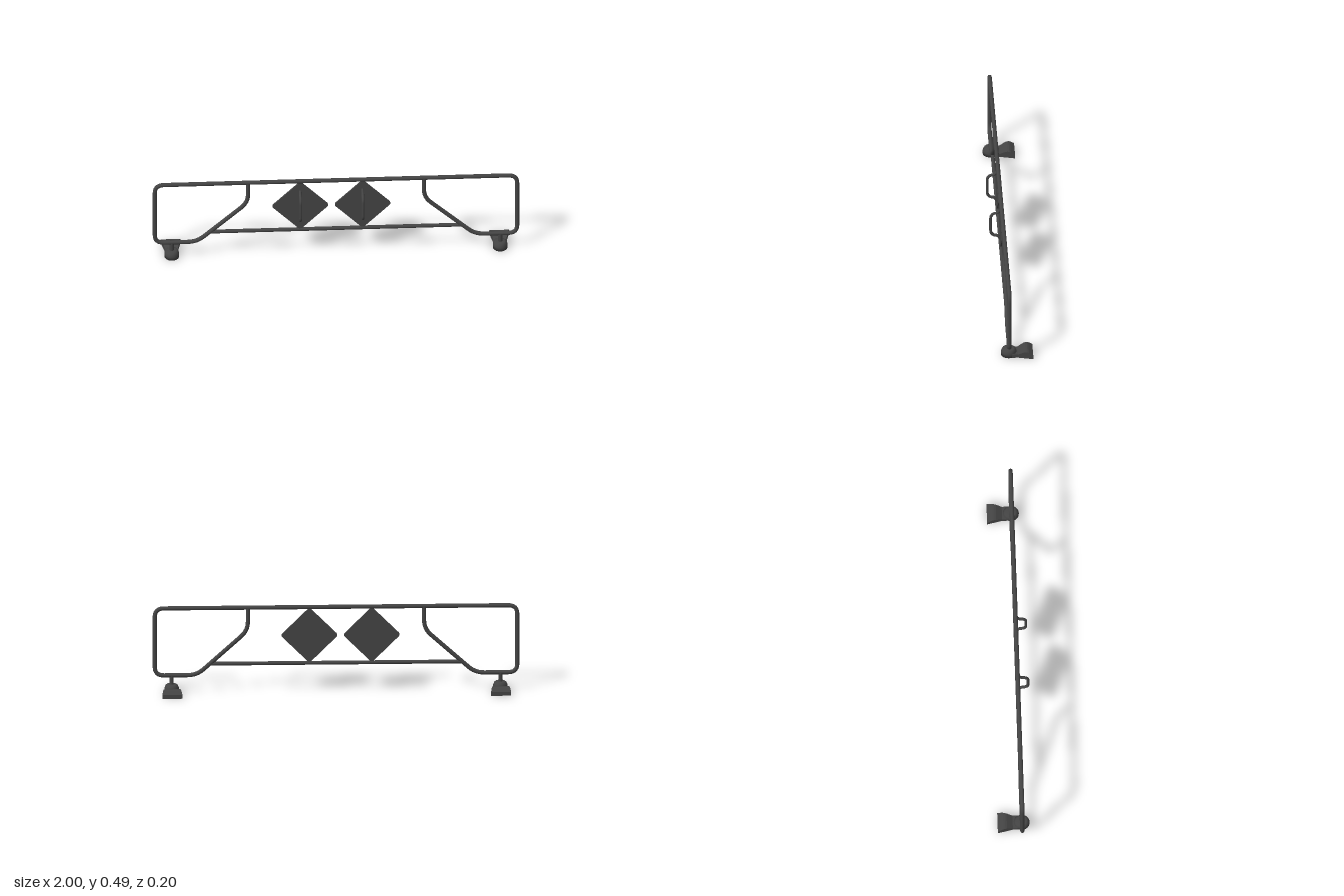
import * as THREE from 'three';

const metal = new THREE.MeshStandardMaterial({ color: 0x444444 });
const PLANE_Z = 0.035;
const v = (x, y, z = PLANE_Z) => new THREE.Vector3(x, y, z);

// Bent pipe centre line: straight runs joined by rounded bends
class BentPath extends THREE.Curve {
  constructor(corners, bend, steps) {
    super();
    const pts = [corners[0]];
    for (let i = 1; i < corners.length - 1; i++) {
      const c = corners[i];
      const cut = (o) => {
        const d = o.clone().sub(c);
        return d.clone().setLength(Math.min(bend, d.length() * 0.45)).add(c);
      };
      const arc = new THREE.QuadraticBezierCurve3(cut(corners[i - 1]), c, cut(corners[i + 1]));
      pts.push(...arc.getPoints(steps));
    }
    pts.push(corners[corners.length - 1]);
    this.pts = pts;
    this.count = pts.length - 1;
  }
  getPoint(t, target = new THREE.Vector3()) {
    const f = t * this.count;
    const i = Math.min(Math.floor(f + 1e-6), this.count - 1);
    return target.lerpVectors(this.pts[i], this.pts[i + 1], f - i);
  }
  getPointAt(t, target) { return this.getPoint(t, target); }
  getTangentAt(t, target = new THREE.Vector3()) {
    const i = Math.round(t * this.count);
    const dir = (a) => this.pts[a + 1].clone().sub(this.pts[a]).normalize();
    return target.copy(dir(Math.max(i - 1, 0))).add(dir(Math.min(i, this.count - 1))).normalize();
  }
}

function mesh(name, geometry, parent) {
  const m = new THREE.Mesh(geometry, metal);
  m.name = name;
  parent.add(m);
  return m;
}

function pipe(name, corners, radius, bend, parent, sides = 14) {
  const path = new BentPath(corners, bend, 6);
  return mesh(name, new THREE.TubeGeometry(path, path.count, radius, sides), parent);
}

// Square panel with rounded corners, standing on one corner
function panelGeometry() {
  const h = 0.111, r = 0.014, depth = 0.01;
  const s = new THREE.Shape();
  s.absarc(h - r, h - r, r, 0, Math.PI / 2);
  s.absarc(r - h, h - r, r, Math.PI / 2, Math.PI);
  s.absarc(r - h, r - h, r, Math.PI, Math.PI * 1.5);
  s.absarc(h - r, r - h, r, Math.PI * 1.5, Math.PI * 2);
  s.closePath();
  const g = new THREE.ExtrudeGeometry(s, { depth, bevelEnabled: false, curveSegments: 5 });
  return g.translate(0, 0, -depth / 2).rotateZ(Math.PI / 4);
}

// Heel of the foot: side profile in (z, y), flaring toward the back
function heelGeometry() {
  const profile = [[-0.097, 0], [-0.015, 0], [0.034, 0], [0.034, 0.021], [-0.015, 0.021],
    [-0.047, 0.039], [-0.056, 0.041], [-0.066, 0.041], [-0.074, 0.038], [-0.097, 0.021]];
  const shape = new THREE.Shape(profile.map(([z, y]) => new THREE.Vector2(z, y)));
  const g = new THREE.ExtrudeGeometry(shape, { depth: 1, bevelEnabled: false });
  g.translate(0, 0, -0.5).rotateY(-Math.PI / 2);
  const p = g.attributes.position;
  for (let i = 0; i < p.count; i++) {
    const flare = Math.max(0, (-0.015 - p.getZ(i)) / 0.082);
    p.setX(i, p.getX(i) * 2 * (0.037 + 0.018 * flare));
  }
  g.computeVertexNormals();
  return g;
}

// Domed cup around the post
function cupGeometry() {
  const profile = [[0, 0], [0.043, 0], [0.043, 0.022], [0.037, 0.037], [0.028, 0.043], [0, 0.043]];
  const g = new THREE.LatheGeometry(profile.map(([x, y]) => new THREE.Vector2(x, y)), 20);
  return g.scale(0.93, 1, 1);
}

export function createModel() {
  const model = new THREE.Group();
  model.name = 'railing';

  // Outer frame, ending in the two inner braces
  const half = [[0.48, 0.475], [0.48, 0.345], [0.758, 0.093], [0.9875, 0.093], [0.9875, 0.475]];
  const corners = [
    ...half.map(([x, y]) => v(x, y)),
    ...half.slice().reverse().map(([x, y]) => v(-x, y)),
  ];
  pipe('frame', corners, 0.0115, 0.05, model);

  // Lower rail between the braces
  pipe('lowerRail', [v(-0.69, 0.157), v(0.69, 0.157)], 0.0105, 0, model);

  // Diamond panels with a grab handle on the front
  for (const x of [-0.195, 0.145]) {
    const panel = new THREE.Group();
    panel.name = 'panel';
    mesh('panelPlate', panelGeometry(), panel).position.set(x, 0.315, PLANE_Z);
    const grip = [[0.415, 0.036], [0.39, 0.056], [0.39, 0.075], [0.37, 0.091],
      [0.26, 0.091], [0.24, 0.075], [0.24, 0.056], [0.215, 0.036]];
    pipe('panelHandle', grip.map(([y, z]) => v(x, y, z)), 0.008, 0.012, panel, 10);
    model.add(panel);
  }

  // Feet
  for (const side of [-1, 1]) {
    const foot = new THREE.Group();
    foot.name = side > 0 ? 'leftFoot' : 'rightFoot';
    mesh('footPost', new THREE.CylinderGeometry(0.0115, 0.0115, 0.06, 14), foot).position.set(0, 0.066, PLANE_Z);
    mesh('footCup', cupGeometry(), foot).position.z = 0.034;
    mesh('footHeel', heelGeometry(), foot);
    foot.position.x = side * 0.895;
    model.add(foot);
  }
  return model;
}
